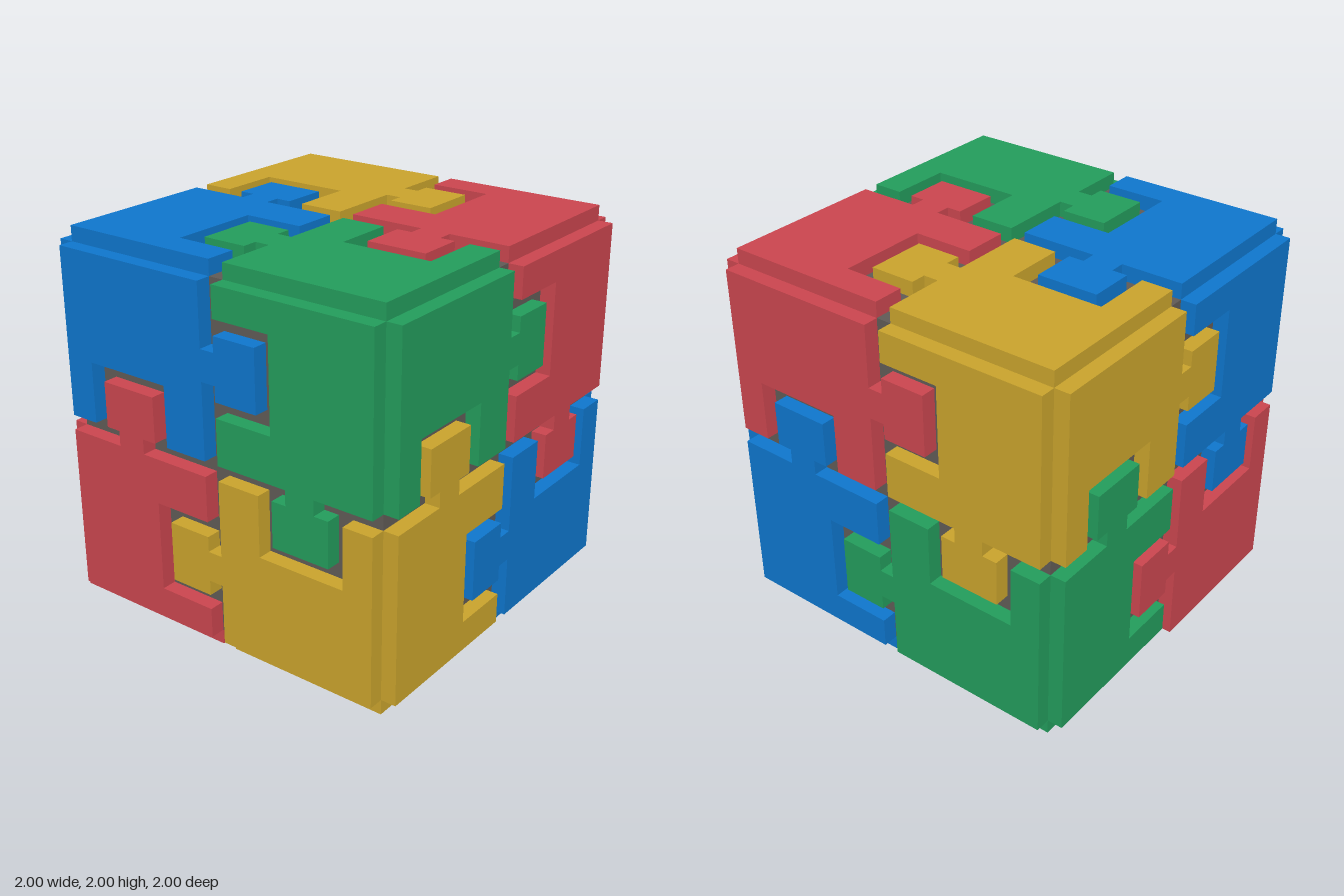
import * as THREE from 'three';

const mat = (name, color) => Object.assign(new THREE.MeshStandardMaterial({ color }), { name });

// One jigsaw plate in the upper left quarter of a face: socket below, tab to the right
const OUTLINE = [
  [-0.92, 0.04], [-0.76, 0.04], [-0.76, 0.36], [-0.28, 0.36], [-0.28, 0.04], [-0.04, 0.04],
  [-0.04, 0.44], [0.04, 0.44], [0.04, 0.36], [0.28, 0.36], [0.28, 0.68], [0.04, 0.68],
  [0.04, 0.60], [-0.04, 0.60], [-0.04, 0.92], [-0.92, 0.92],
];
const INNER = 0.92;
const THICK = 0.08;

export function createModel() {
  const model = new THREE.Group();
  model.name = 'puzzleCube';

  const core = mat('coreGrey', 0x5f5a55);
  const blue = mat('blue', 0x0e75cb);
  const green = mat('green', 0x239b5b);
  const red = mat('red', 0xc9454e);
  const yellow = mat('yellow', 0xc8a22c);

  // Diagonally opposite corners of the cube share a colour
  const cornerColour = (p) => {
    const x = p.x * p.z > 0, y = p.y * p.z > 0;
    return x ? (y ? green : yellow) : (y ? blue : red);
  };

  // Inner block seen in the gaps
  const block = new THREE.Mesh(new THREE.BoxGeometry(2 * INNER, 2 * INNER, 2 * INNER), core);
  block.name = 'core';
  block.position.y = 1;
  model.add(block);

  const plate = new THREE.ExtrudeGeometry(
    new THREE.Shape(OUTLINE.map(([x, y]) => new THREE.Vector2(x, y))),
    { depth: THICK, bevelEnabled: false },
  );
  plate.translate(0, 0, INNER);

  // Four interlocking plates on each of the six faces
  const H = Math.PI / 2;
  const faces = {
    front: [0, 0], right: [0, H], back: [0, 2 * H], left: [0, -H], top: [-H, 0], bottom: [H, 0],
  };
  for (const [name, [rx, ry]] of Object.entries(faces)) {
    const face = new THREE.Group();
    face.name = `${name}Face`;
    face.position.y = 1;
    face.rotation.set(rx, ry, 0);
    for (let k = 0; k < 4; k++) {
      const piece = new THREE.Mesh(plate, core);
      piece.name = `${name}Piece${k + 1}`;
      piece.rotation.z = -k * H;
      const centre = new THREE.Vector3(-0.5, 0.5, 1).applyEuler(piece.rotation).applyEuler(face.rotation);
      piece.material = cornerColour(centre);
      face.add(piece);
    }
    model.add(face);
  }

  // Strip closing the lower left edge of the red corner
  const strip = new THREE.Mesh(new THREE.BoxGeometry(THICK, THICK, 0.88), red);
  strip.name = 'edgeStrip';
  strip.position.set(-0.96, 0.04, 0.48);
  model.add(strip);

  return model;
}
